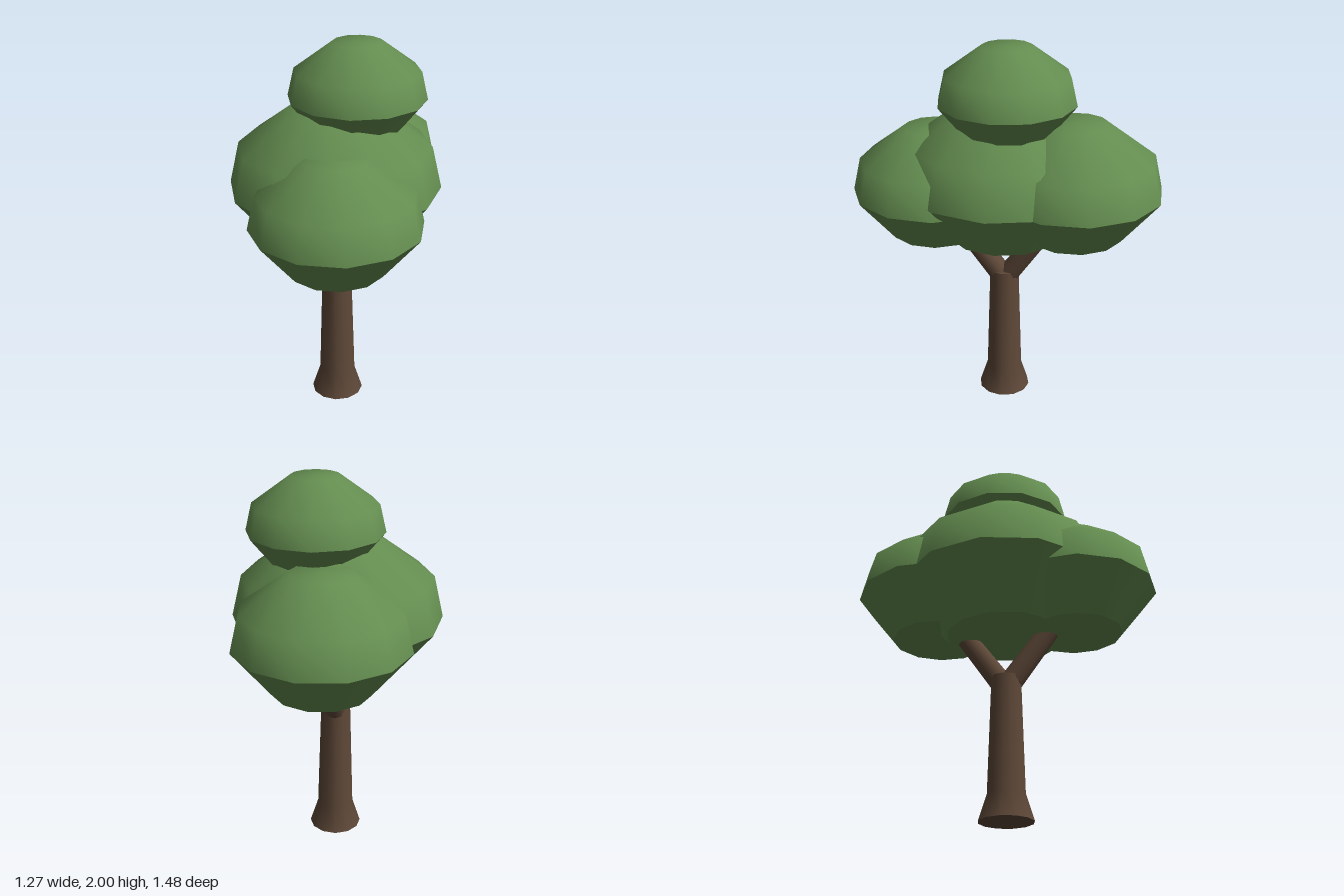
import * as THREE from 'three';

const bark = new THREE.MeshStandardMaterial({ color: 0x5e4838 });
bark.name = 'bark brown';
const leaf = new THREE.MeshStandardMaterial({ color: 0x648d50 });
leaf.name = 'leaf green';

const SIDES = 12;

// Surface of revolution from [radius, height] pairs listed bottom to top
function lathe(profile, material, turn = 0) {
  const points = profile.map(([r, y]) => new THREE.Vector2(r, y));
  return new THREE.Mesh(new THREE.LatheGeometry(points, SIDES, -THREE.MathUtils.degToRad(turn)), material);
}

// Leaf clump: smooth squashed dome, tapered skirt and flat underside, centred on its widest ring
function clump(name, [x, y, z], r, turn) {
  const group = new THREE.Group();
  group.name = name;
  const parts = {
    dome: [[1, 0], [0.905, 0.4], [0.357, 0.8], [0, 0.8]],
    skirt: [[0.57, -0.53], [1, 0]],
    underside: [[0, -0.53], [0.57, -0.53]],
  };
  for (const [part, profile] of Object.entries(parts)) {
    const mesh = lathe(profile, leaf, turn);
    mesh.name = part;
    group.add(mesh);
  }
  group.position.set(x, y, z);
  group.scale.setScalar(r);
  return group;
}

// Tapered limb between two points
function limb(name, from, to, r0, r1) {
  const a = new THREE.Vector3(...from), b = new THREE.Vector3(...to);
  const axis = b.clone().sub(a);
  const mesh = new THREE.Mesh(new THREE.CylinderGeometry(r1, r0, axis.length(), SIDES), bark);
  mesh.name = name;
  mesh.position.copy(a).add(b).multiplyScalar(0.5);
  mesh.quaternion.setFromUnitVectors(new THREE.Vector3(0, 1, 0), axis.normalize());
  return mesh;
}

export function createModel() {
  const tree = new THREE.Group();
  tree.name = 'tree';

  // Trunk with flared foot, closed at both ends
  const trunk = new THREE.Group();
  trunk.name = 'trunk';
  const trunkParts = {
    trunkSide: [[0.14, 0], [0.097, 0.135], [0.078, 0.745]],
    trunkBase: [[0, 0], [0.14, 0]],
    trunkTop: [[0.078, 0.745], [0, 0.745]],
  };
  for (const [part, profile] of Object.entries(trunkParts)) {
    const mesh = lathe(profile, bark);
    mesh.name = part;
    trunk.add(mesh);
  }
  trunk.position.set(-0.055, 0, -0.015);
  tree.add(trunk);

  // Forked branches reaching into the leaves
  tree.add(
    limb('frontBranch', [-0.06, 0.71, 0], [-0.19, 1.15, 0.29], 0.06, 0.05),
    limb('backBranch', [-0.045, 0.71, -0.03], [0.155, 1.15, -0.27], 0.058, 0.048),
  );

  // Leaf clumps
  tree.add(
    clump('mainLeaves', [-0.06, 1.26, -0.02], 0.545, 1),
    clump('frontLeaves', [-0.215, 1.2, 0.31], 0.432, 20),
    clump('backLeaves', [0.195, 1.26, -0.305], 0.45, 15),
    clump('topLeaves', [0.05, 1.72, 0.01], 0.35, 3),
  );
  return tree;
}
